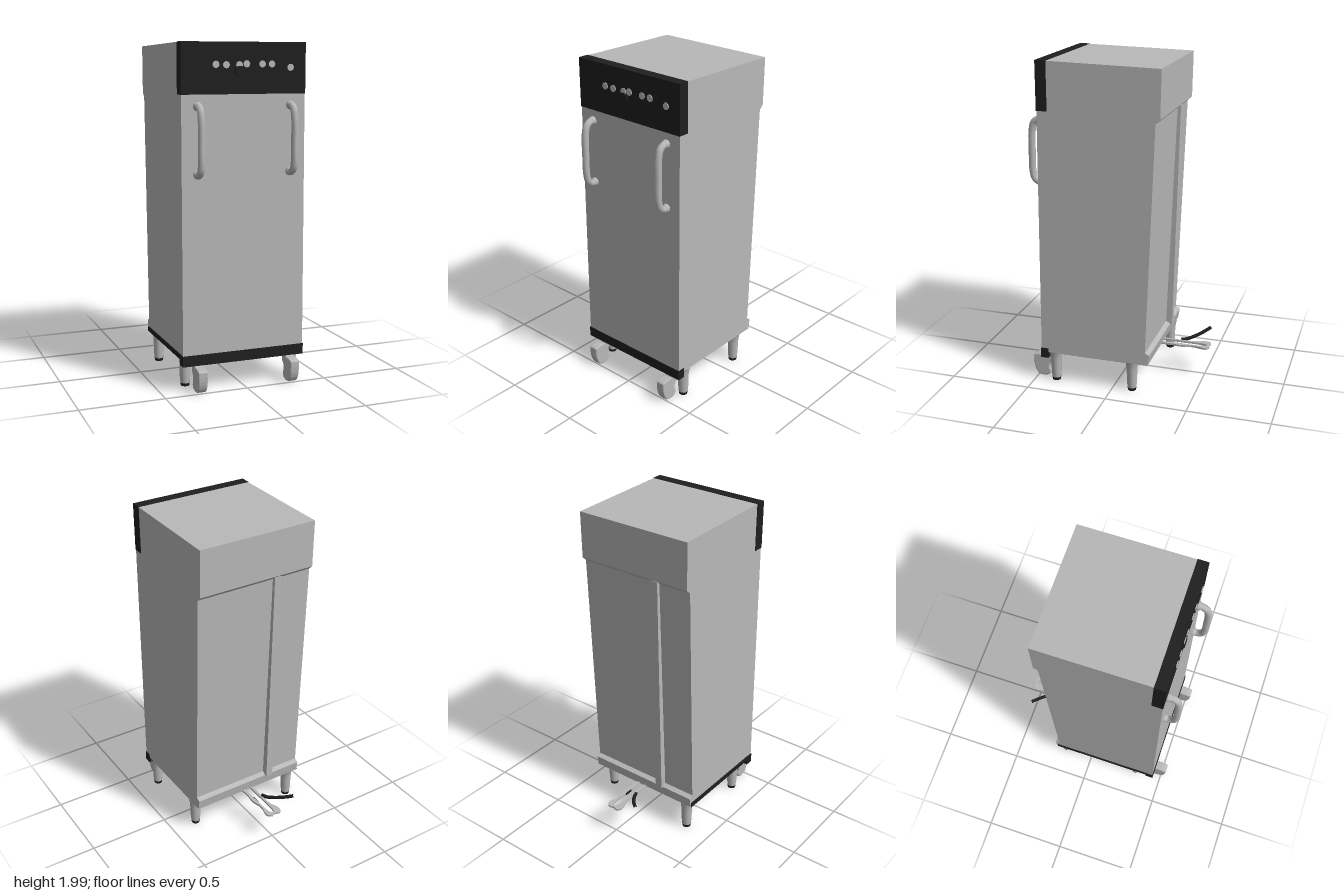
import * as THREE from 'three';

export function createModel() {
  const root = new THREE.Group();
  const grey = new THREE.MeshStandardMaterial({ color: 0xb8b8b8 });
  grey.name = 'enamelGrey';
  const black = new THREE.MeshStandardMaterial({ color: 0x1f1f1f });
  black.name = 'trimBlack';

  const add = (name, geometry, material, x = 0, y = 0, z = 0) => {
    const mesh = new THREE.Mesh(geometry, material);
    mesh.name = name;
    mesh.position.set(x, y, z);
    root.add(mesh);
    return mesh;
  };
  const box = (name, material, x0, x1, y0, y1, z0, z1) =>
    add(name, new THREE.BoxGeometry(x1 - x0, y1 - y0, z1 - z0), material,
      (x0 + x1) / 2, (y0 + y1) / 2, (z0 + z1) / 2);
  const toShape = (pts) => new THREE.Shape(pts.map(([a, b]) => new THREE.Vector2(a, b)));
  // side profile given as (z, y), extruded across x and centred on x = 0
  const sideExtrude = (shape, width, bevel = 0) => {
    const g = new THREE.ExtrudeGeometry(shape, {
      depth: width - 2 * bevel, bevelEnabled: bevel > 0,
      bevelSize: bevel, bevelThickness: bevel, bevelOffset: -bevel, bevelSegments: 2, curveSegments: 6,
    });
    g.rotateY(-Math.PI / 2);
    return g.translate(width / 2 - bevel, 0, 0);
  };

  // cabinet with overhanging rear top, leaning rear panel and small bottom lip
  add('cabinet', sideExtrude(toShape([
    [0.452, 0.2], [0.438, 1.998], [0.38, 1.998], [-0.297, 1.983], [-0.292, 1.7], [-0.265, 1.675],
    [-0.211, 0.28], [-0.238, 0.265], [-0.228, 0.2],
  ]), 0.752), grey, -0.002);

  // rear conduit running down the leaning panel
  add('rearConduit', sideExtrude(toShape([
    [-0.25, 1.69], [-0.286, 1.69], [-0.25, 0.26], [-0.2, 0.26],
  ]), 0.045), grey, -0.145);

  // dark trims
  box('controlPanel', black, -0.381, 0.376, 1.71, 2.0, 0.377, 0.443);
  box('frontPlinth', black, -0.381, 0.377, 0.162, 0.225, 0.407, 0.456);
  box('sideSkirt', black, -0.383, -0.377, 0.198, 0.228, -0.225, 0.42);

  // indicator buttons and a small dial
  const button = new THREE.CylinderGeometry(0.02, 0.02, 0.008, 12).rotateX(Math.PI / 2);
  for (const [x, y] of [[-0.175, 1.875], [-0.113, 1.873], [-0.034, 1.873], [0.01, 1.878],
    [0.106, 1.877], [0.164, 1.877], [0.28, 1.858]]) {
    add('button', button, grey, x, y, 0.444);
  }
  add('dial', new THREE.CylinderGeometry(0.028, 0.032, 0.012, 14).rotateX(Math.PI / 2),
    black, -0.033, 1.838, 0.446);

  // door handles: bent tubes with mounting feet
  const handlePath = new THREE.CatmullRomCurve3([
    [1.645, 0.43], [1.645, 0.465], [1.625, 0.495], [1.57, 0.51], [1.45, 0.513],
    [1.33, 0.512], [1.285, 0.5], [1.263, 0.47], [1.262, 0.43],
  ].map(([y, z]) => new THREE.Vector3(0, y, z)));
  const handle = new THREE.TubeGeometry(handlePath, 40, 0.021, 10);
  const foot = new THREE.SphereGeometry(0.026, 12, 8);
  for (const x of [-0.285, 0.28]) {
    add('doorHandle', handle, grey, x);
    for (const y of [1.645, 1.265]) add('handleMount', foot, grey, x, y, 0.447);
  }

  // tapered legs with dark feet
  const leg = new THREE.LatheGeometry([
    [0.027, 0.024], [0.031, 0.06], [0.033, 0.14], [0.037, 0.18], [0.045, 0.205],
  ].map(([r, y]) => new THREE.Vector2(r, y)), 14);
  const pad = new THREE.CylinderGeometry(0.028, 0.025, 0.018, 14);
  for (const [x, z] of [[0.338, 0.37], [-0.322, 0.32], [0.335, -0.12], [-0.322, -0.19]]) {
    add('leg', leg, grey, x, 0, z);
    add('legPad', pad, black, x, 0.017, z);
  }

  // front casters with rounded toes
  const toe = new THREE.Shape();
  toe.moveTo(0.40, 0.165);
  toe.lineTo(0.402, 0.115);
  toe.quadraticCurveTo(0.43, 0.105, 0.425, 0.065);
  toe.quadraticCurveTo(0.405, 0.04, 0.43, 0.018);
  toe.quadraticCurveTo(0.465, 0, 0.5, 0.018);
  toe.quadraticCurveTo(0.533, 0.05, 0.53, 0.14);
  toe.quadraticCurveTo(0.52, 0.155, 0.46, 0.155);
  toe.lineTo(0.45, 0.165);
  const caster = sideExtrude(toe, 0.058, 0.008);
  for (const x of [-0.282, 0.292]) add('caster', caster, grey, x);

  // rear hook: flat looped fork, drawn as (x, -z) and laid flat
  const fork = new THREE.Shape();
  fork.moveTo(-0.03, 0.2);
  fork.lineTo(-0.027, 0.4);
  fork.quadraticCurveTo(-0.027, 0.43, -0.045, 0.465);
  fork.quadraticCurveTo(-0.065, 0.53, -0.02, 0.53);
  fork.quadraticCurveTo(0, 0.515, 0.02, 0.53);
  fork.quadraticCurveTo(0.065, 0.52, 0.045, 0.47);
  fork.quadraticCurveTo(0.033, 0.43, 0.04, 0.4);
  fork.quadraticCurveTo(0.058, 0.35, 0.045, 0.3);
  fork.lineTo(0.045, 0.2);
  fork.lineTo(0.025, 0.2);
  fork.lineTo(0.025, 0.45);
  fork.quadraticCurveTo(0.02, 0.51, 0.005, 0.51);
  fork.quadraticCurveTo(-0.01, 0.51, -0.012, 0.45);
  fork.lineTo(-0.014, 0.2);
  const hook = new THREE.ExtrudeGeometry(fork, { depth: 0.012, bevelEnabled: false, curveSegments: 8 });
  add('rearHook', hook.rotateX(-Math.PI / 2), grey, 0, 0.195, 0);

  // dark lever rising off the hook, and its pivot on the other arm
  const leverPath = new THREE.CatmullRomCurve3([
    [-0.03, 0.208, -0.335], [-0.045, 0.21, -0.37], [-0.085, 0.225, -0.425],
    [-0.125, 0.24, -0.465], [-0.16, 0.255, -0.497],
  ].map((p) => new THREE.Vector3(...p)));
  add('hookLever', new THREE.TubeGeometry(leverPath, 20, 0.011, 8), black);
  box('hookPivot', black, 0.02, 0.036, 0.192, 0.205, -0.37, -0.32);

  return root;
}
